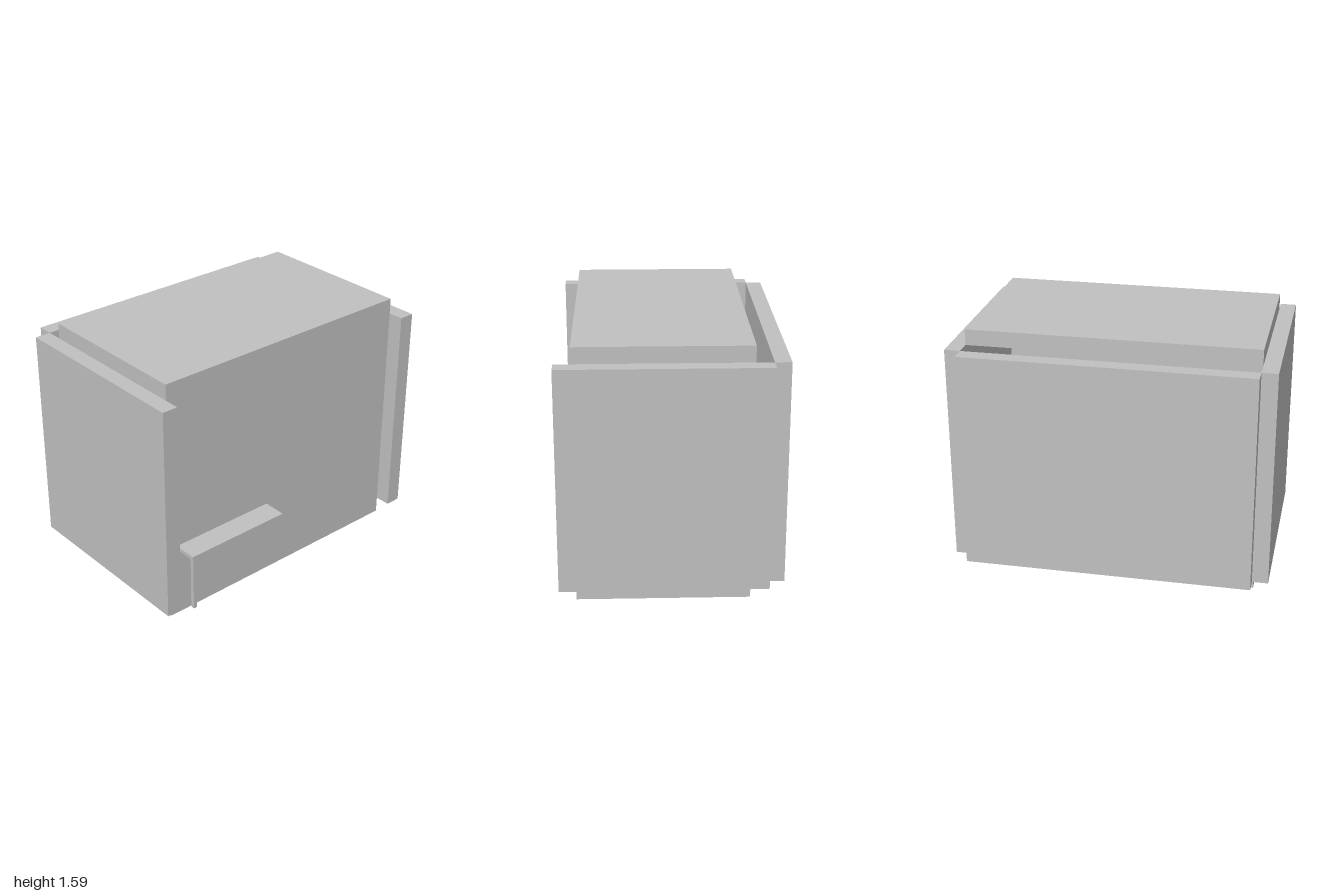
import * as THREE from 'three';

export function createModel() {
  const root = new THREE.Group();
  const grey = new THREE.MeshStandardMaterial({ color: 0xc0c0c0 });
  grey.name = 'light grey';

  // Box given by its extents on each axis
  const block = (name, [x0, x1], [y0, y1], [z0, z1], parent = root) => {
    const mesh = new THREE.Mesh(new THREE.BoxGeometry(x1 - x0, y1 - y0, z1 - z0), grey);
    mesh.position.set((x0 + x1) / 2, (y0 + y1) / 2, (z0 + z1) / 2);
    mesh.name = name;
    parent.add(mesh);
  };

  // Floor, left wall and ceiling: one C-shaped section, open towards -x
  const section = new THREE.Shape([
    [-0.5, 0], [0.55, 0], [0.55, 1.59], [-0.5, 1.59],
    [-0.5, 1.49], [0.45, 1.49], [0.45, 0.105], [-0.5, 0.105],
  ].map(([x, y]) => new THREE.Vector2(x, y)));
  const shellGeometry = new THREE.ExtrudeGeometry(section, { depth: 1.8, bevelEnabled: false });
  shellGeometry.translate(0, 0, -0.9);
  const shell = new THREE.Mesh(shellGeometry, grey);
  shell.name = 'floorWallCeiling';
  root.add(shell);

  // Separate wall panels
  const wallHeight = [0.105, 1.49];
  block('frontWall', [-0.605, 0.65], wallHeight, [0.9, 1]);
  block('backWall', [-0.605, 0.65], wallHeight, [-1, -0.9]);
  block('rightWall', [-0.705, -0.605], wallHeight, [-0.9, 0.9]);

  // Desk reaching through the left wall
  const desk = new THREE.Group();
  desk.name = 'desk';
  root.add(desk);
  block('deskTop', [0.32, 0.7], [0.465, 0.49], [0.13, 0.845], desk);
  for (const x of [0.33, 0.665]) {
    block('deskLeg', [x, x + 0.025], [0.105, 0.465], [0.81, 0.835], desk);
  }

  // Cabinet against the right wall
  block('cabinet', [-0.605, -0.3], [0.105, 0.6], [-0.31, 0]);

  return root;
}
